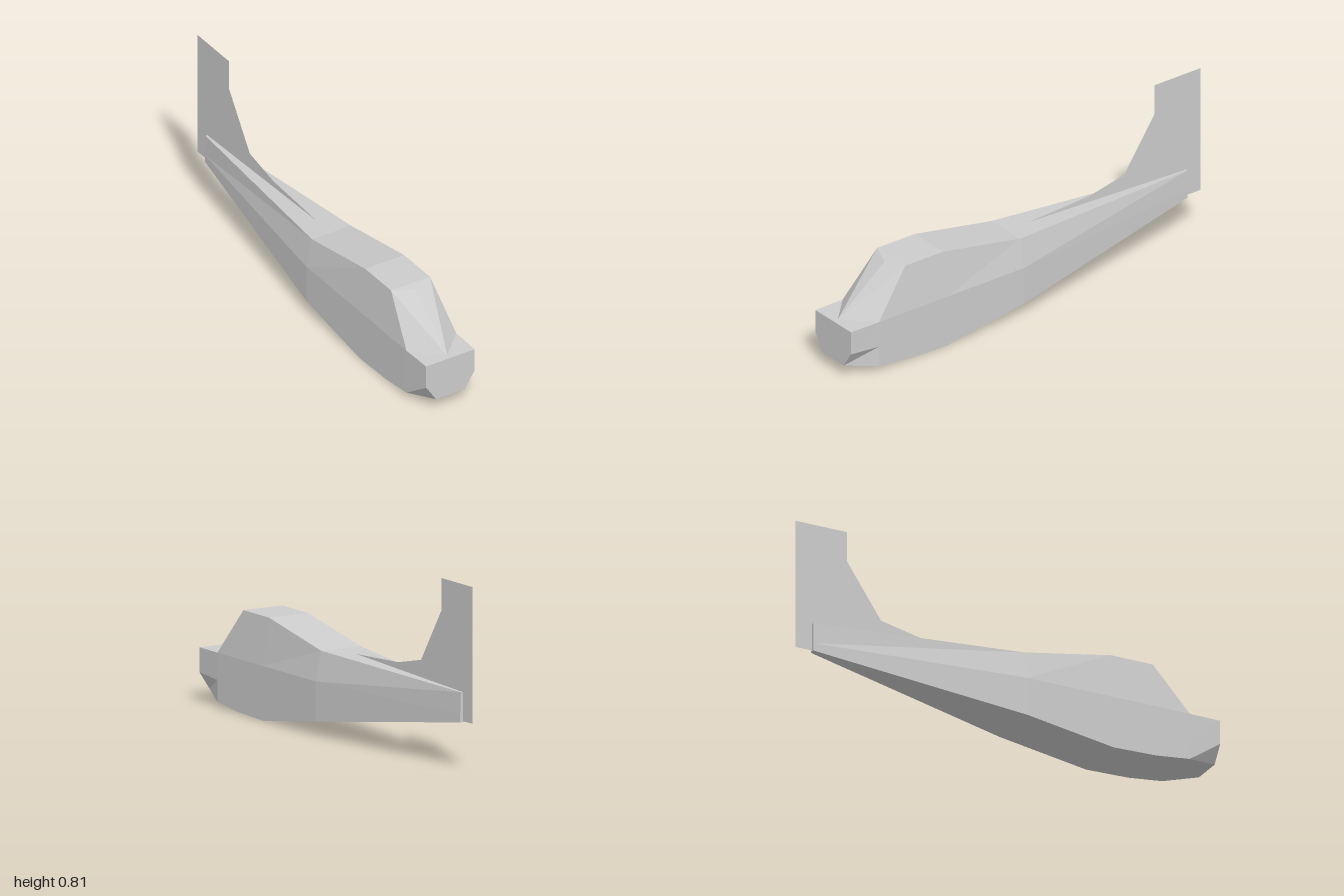
import * as THREE from 'three';

const material = new THREE.MeshStandardMaterial({ color: 0xcccccc, flatShading: true });
const finMaterial = new THREE.MeshStandardMaterial({ color: 0xcccccc, flatShading: true, side: THREE.DoubleSide });

// Flat-shaded mesh from a list of triangles, each made of three [x, y, z] corners
function facetMesh(name, triangles) {
  const geometry = new THREE.BufferGeometry();
  geometry.setAttribute('position', new THREE.Float32BufferAttribute(triangles.flat(2), 3));
  geometry.computeVertexNormals();
  const mesh = new THREE.Mesh(geometry, material);
  mesh.name = name;
  return mesh;
}

// Half sections from nose to tail: z, then x, y of keel edge, lower side, belt and roof edge
const stations = [
  [1.0, [0.073, 0.053], [0.124, 0.13], [0.125, 0.24], [0.125, 0.24]],
  [0.85, [0.128, 0.025], [0.128, 0.12], [0.128, 0.24], [0.128, 0.24]],
  [0.685, [0.128, 0.006], [0.128, 0.12], [0.128, 0.24], [0.1, 0.45]],
  [0.48, [0.128, 0], [0.128, 0.12], [0.128, 0.24], [0.1, 0.45]],
  [0.06, [0.128, 0.064], [0.128, 0.13], [0.128, 0.24], [0.1, 0.372]],
  [-0.92, [0.013, 0.205], [0.013, 0.22], [0.013, 0.24], [0.01, 0.337]],
];

function createFuselage() {
  // Closed rings: up the left side, down the mirrored right side
  const rings = stations.map(([z, ...half]) => [
    ...half.map(([x, y]) => [x, y, z]),
    ...half.slice().reverse().map(([x, y]) => [-x, y, z]),
  ]);
  const triangles = [];
  for (let i = 0; i < rings.length - 1; i++) {
    const p = rings[i], q = rings[i + 1];
    for (let j = 0; j < 8; j++) {
      const k = (j + 1) % 8;
      if (j === 3 && i < 2) continue; // nose deck and windshield go here
      triangles.push([p[j], q[j], q[k]], [p[j], q[k], p[k]]);
    }
  }
  // Nose and tail caps
  const nose = rings[0], tail = rings[rings.length - 1];
  for (let j = 1; j < 7; j++) {
    triangles.push([nose[0], nose[j], nose[j + 1]], [tail[0], tail[j + 1], tail[j]]);
  }
  return facetMesh('fuselage', triangles);
}

// Corners shared by the nose deck and the windshield
const apex = [0, 0.24, 0.975];
const brow = [0, 0.44, 0.72];
const corner = (side, i) => [side * stations[i][4][0], stations[i][4][1], stations[i][0]];

// Adds a triangle and its mirror image with matching winding
function mirrored(make) {
  const [a, b, c] = make(-1);
  return [make(1), [a, c, b]];
}

function createNoseDeck() {
  return facetMesh('noseDeck', [
    [corner(-1, 0), corner(1, 0), apex],
    ...mirrored((s) => [corner(s, 0), corner(s, 1), apex]),
  ]);
}

function createWindshield() {
  return facetMesh('windshield', [
    ...mirrored((s) => [apex, corner(s, 1), corner(s, 2)]),
    ...mirrored((s) => [apex, corner(s, 2), brow]),
    [brow, corner(1, 2), corner(-1, 2)],
  ]);
}

// Thin upright fin with a long leading fillet
function createTailFin() {
  const outline = [
    [-1, 0.21], [-0.92, 0.21], [-0.92, 0.335], [-0.05, 0.367], [-0.4, 0.385],
    [-0.585, 0.425], [-0.75, 0.67], [-0.75, 0.81], [-1, 0.81],
  ].map(([z, y]) => new THREE.Vector2(z, y));
  const geometry = new THREE.ShapeGeometry(new THREE.Shape(outline));
  geometry.rotateY(-Math.PI / 2);
  const fin = new THREE.Mesh(geometry, finMaterial);
  fin.name = 'tailFin';
  return fin;
}

export function createModel() {
  const model = new THREE.Group();
  model.name = 'aircraftBody';
  model.add(createFuselage(), createNoseDeck(), createWindshield(), createTailFin());
  return model;
}
